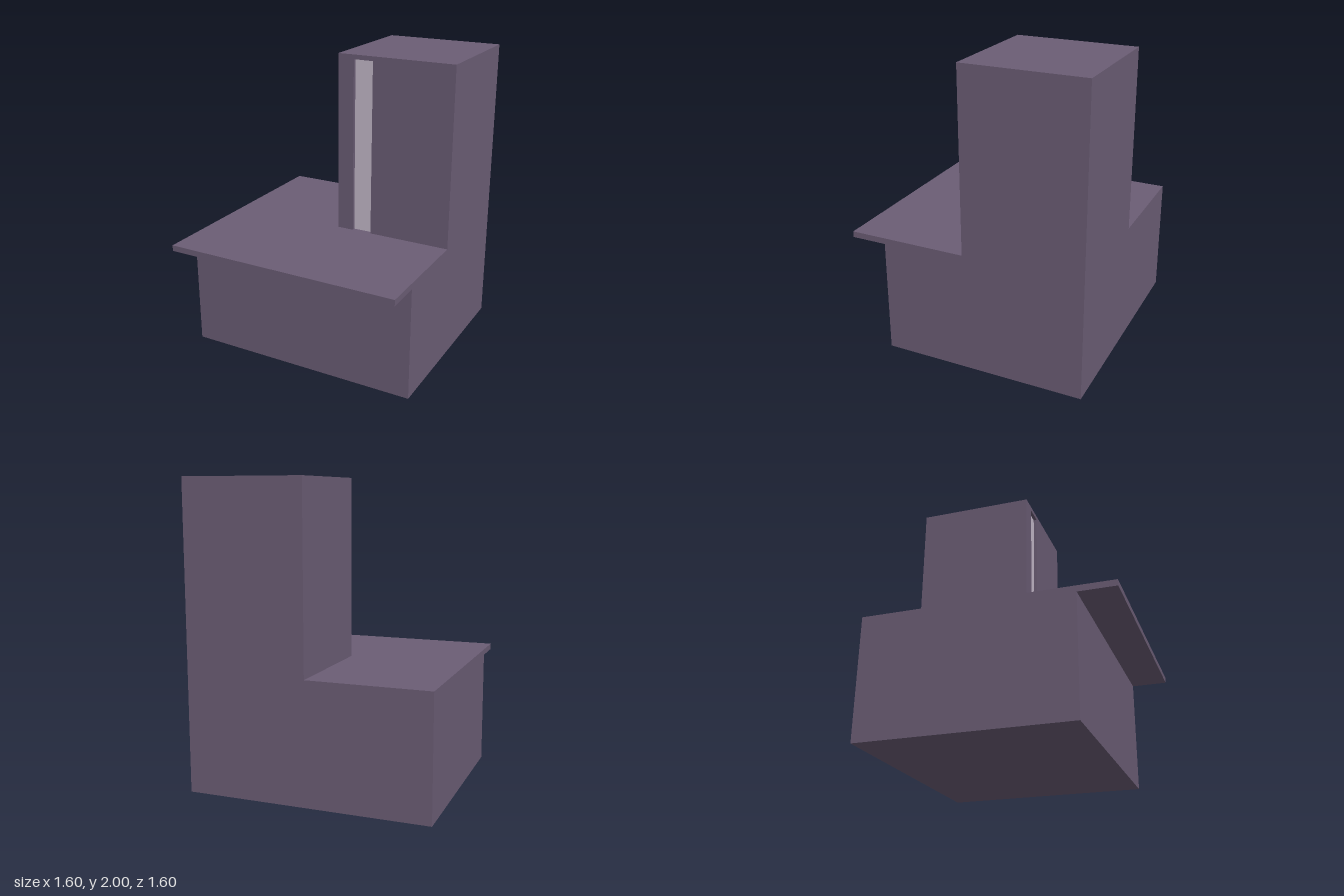
import * as THREE from 'three';

const wall = new THREE.MeshStandardMaterial({ color: 0x6b5d75 });
wall.name = 'wallPurple';
const pale = new THREE.MeshStandardMaterial({ color: 0xc5b9ca });
pale.name = 'paleLilac';

// Extrude an outline of [x, y] points by a depth along +z
function extrude(points, depth) {
  const shape = new THREE.Shape(points.map(([x, y]) => new THREE.Vector2(x, y)));
  return new THREE.ExtrudeGeometry(shape, { depth, bevelEnabled: false });
}

export function createModel() {
  const model = new THREE.Group();
  model.name = 'building';
  const add = (name, geometry, material) => {
    const mesh = new THREE.Mesh(geometry, material);
    mesh.name = name;
    model.add(mesh);
    return mesh;
  };

  const half = 0.8, deck = 0.8, top = 2, recess = 0.025;
  const slot = { left: 0.11, right: 0.245, top: 1.97 };

  // Base with overhanging roof slab: side profile (z, y) swept across x
  const base = extrude([
    [-half, 0], [0.56, 0], [0.56, 0.76], [half, 0.76], [half, deck], [-half, deck],
  ], 2 * half);
  base.rotateY(-Math.PI / 2).translate(half, 0, 0);
  add('baseWithOverhang', base, wall);

  // Tower core behind the window recess
  const core = new THREE.BoxGeometry(half, top - deck, half - recess);
  core.translate(half / 2, (top + deck) / 2, -(half + recess) / 2);
  add('towerCore', core, wall);

  // Tower front layer, cut out for the tall window
  const front = extrude([
    [0, deck], [slot.left, deck], [slot.left, slot.top], [slot.right, slot.top],
    [slot.right, deck], [half, deck], [half, top], [0, top],
  ], recess);
  front.translate(0, 0, -recess);
  add('towerFront', front, wall);

  // Window pane at the back of the recess
  const pane = new THREE.PlaneGeometry(slot.right - slot.left, slot.top - deck);
  pane.translate((slot.left + slot.right) / 2, (slot.top + deck) / 2, -recess + 0.002);
  add('windowPane', pane, pale);

  return model;
}
